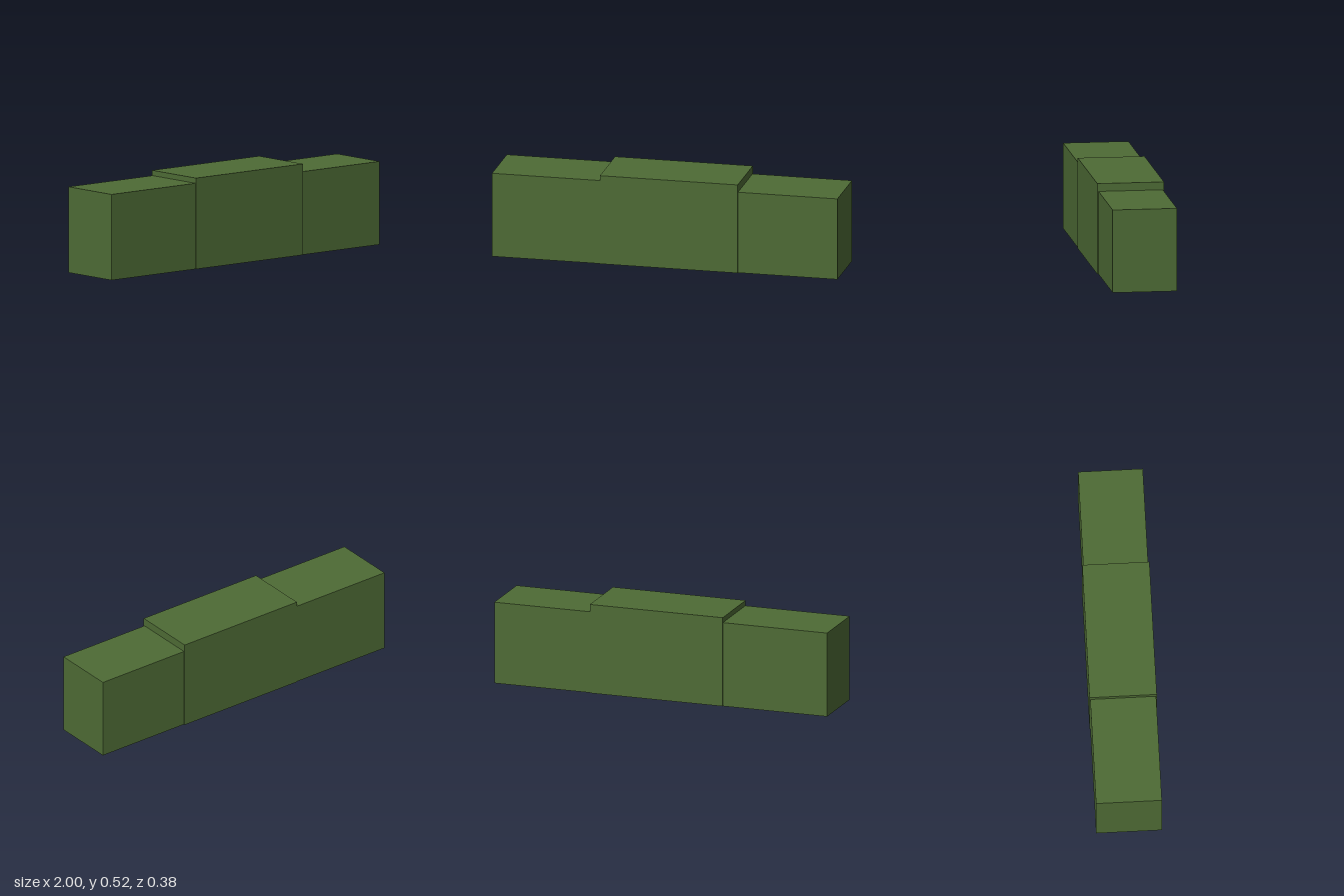
import * as THREE from 'three';

const green = new THREE.MeshStandardMaterial({ color: 0x4e6b35, side: THREE.DoubleSide });
green.name = 'olive green';

// Box with an open underside, standing on y = 0
function openBox(name, x0, x1, height, depth) {
  const geometry = new THREE.BoxGeometry(x1 - x0, height, depth);
  const index = Array.from(geometry.index.array);
  index.splice(18, 6); // the bottom face
  geometry.setIndex(index);
  geometry.clearGroups();
  const mesh = new THREE.Mesh(geometry, green);
  mesh.name = name;
  mesh.position.set((x0 + x1) / 2, height / 2, 0);
  return mesh;
}

export function createModel() {
  const model = new THREE.Group();
  model.name = 'hedge';
  // Three overlapping blocks in a row
  model.add(
    openBox('rightBlock', -1, -0.224, 0.49, 0.372),
    openBox('middleBlock', -0.374, 0.424, 0.52, 0.38),
    openBox('leftBlock', 0.273, 1, 0.475, 0.366),
  );
  return model;
}
